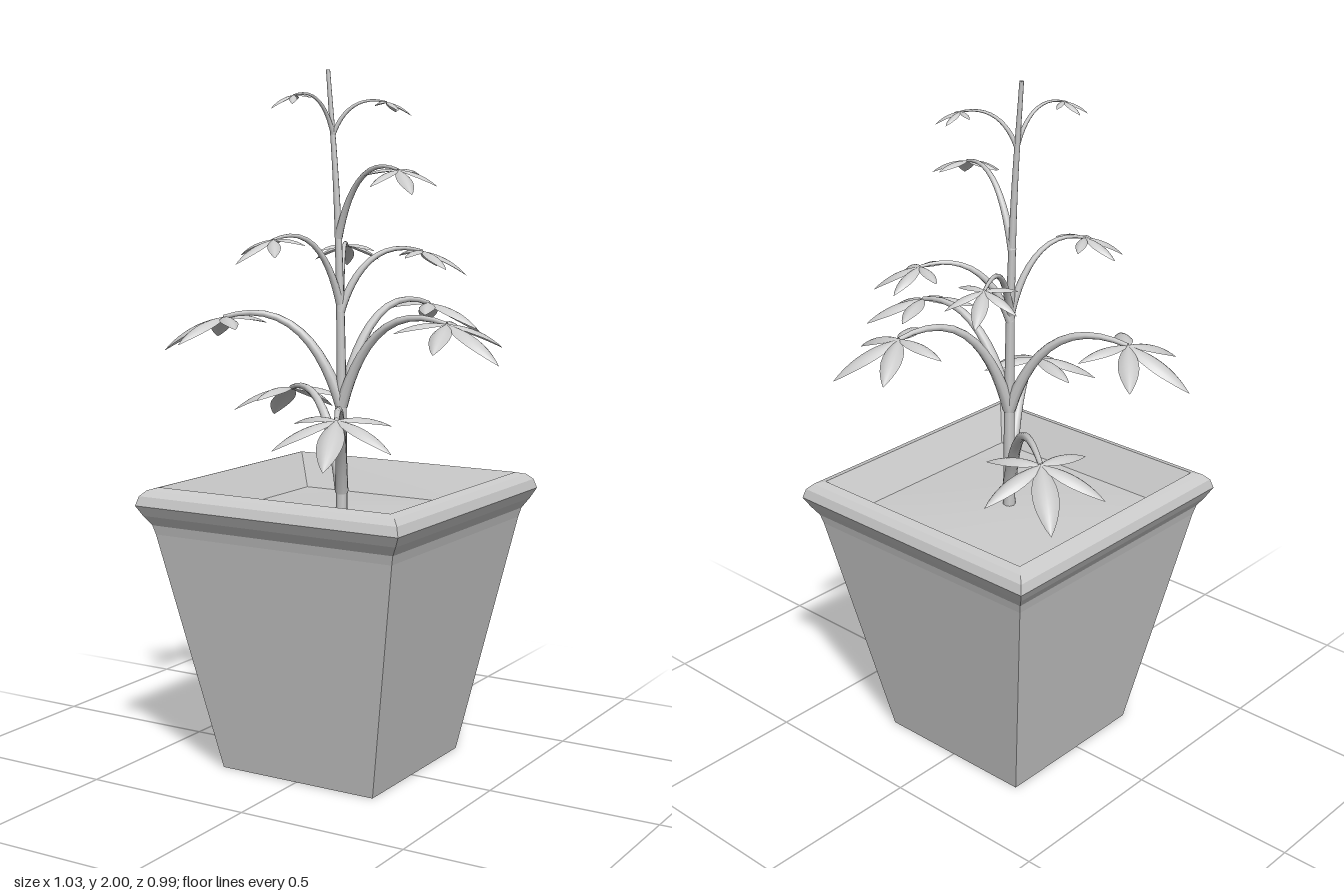
import * as THREE from 'three';

const CZ = -0.025; // the pot sits slightly behind the origin
const smooth = new THREE.MeshStandardMaterial({ color: 0xcccccc, side: THREE.DoubleSide });
const faceted = new THREE.MeshStandardMaterial({ color: 0xcccccc, flatShading: true });

function named(geometry, material, name) {
  const mesh = new THREE.Mesh(geometry, material);
  mesh.name = name;
  return mesh;
}

// Tube whose radius runs from r0 to r1 along the curve
function taperedTube(curve, r0, r1, rings, sides) {
  const geo = new THREE.TubeGeometry(curve, rings, 1, sides);
  const pos = geo.attributes.position, v = new THREE.Vector3();
  for (let i = 0; i <= rings; i++) {
    const c = curve.getPointAt(i / rings), r = r0 + (r1 - r0) * i / rings;
    for (let j = 0; j <= sides; j++) {
      const k = i * (sides + 1) + j;
      v.fromBufferAttribute(pos, k).sub(c).multiplyScalar(r).add(c);
      pos.setXYZ(k, v.x, v.y, v.z);
    }
  }
  return geo;
}

// Pointed oval blade from hub to tip, arched lengthwise and rounded across
function leaflet(hub, tip) {
  const geo = new THREE.PlaneGeometry(2, 1, 6, 10);
  const pos = geo.attributes.position;
  const along = tip.clone().sub(hub), len = along.length();
  const dir = along.clone().normalize();
  const side = dir.clone().cross(new THREE.Vector3(0, 1, 0)).normalize();
  const up = side.clone().cross(dir);
  for (let i = 0; i < pos.count; i++) {
    const s = pos.getX(i), t = pos.getY(i) + 0.5;
    const oval = Math.pow(Math.max(0, Math.sin(Math.PI * Math.pow(t, 0.9))), 0.85);
    const half = len * (0.15 * oval + 0.012 * (1 - t));
    const lift = 0.36 * len * t * (1 - t) - 0.5 * half * s * s;
    const p = hub.clone().addScaledVector(along, t).addScaledVector(side, half * s).addScaledVector(up, lift);
    pos.setXYZ(i, p.x, p.y, p.z);
  }
  geo.computeVertexNormals();
  return geo;
}

// Stem centre line, leaning a little to the right as it rises
const STEM_BASE = 0.73, STEM_HEIGHT = 1.27;
function stemAt(y) {
  const t = (y - STEM_BASE) / STEM_HEIGHT;
  return new THREE.Vector3(-0.045 * t ** 3, y, CZ);
}

// Each leaf: hub x, y, z, height where its stalk leaves the stem,
// length of its longest leaflet, heading of that leaflet in degrees
const leaves = [
  [-0.32, 1.06, -0.255, 0.8, 0.2, 221],
  [0.18, 1.06, 0.3, 0.8, 0.2, 69],
  [-0.33, 1.3, 0.09, 1.05, 0.188, 167],
  [0.34, 1.3, -0.02, 1.05, 0.186, 13],
  [0.11, 1.33, -0.345, 1.05, 0.186, 302],
  [-0.12, 1.5, -0.255, 1.34, 0.12, 239],
  [0.16, 1.49, -0.21, 1.32, 0.13, 325],
  [-0.09, 1.53, 0.19, 1.34, 0.12, 117],
  [0.225, 1.72, 0.05, 1.53, 0.12, 43],
  [0.1, 1.91, -0.105, 1.82, 0.07, 327],
  [-0.07, 1.925, 0.115, 1.82, 0.07, 123],
];

function buildLeaf([x, y, z, from, size, heading]) {
  const leaf = new THREE.Group();
  leaf.name = 'leaf';
  const hub = new THREE.Vector3(x, y, z), start = stemAt(from);
  const bend = start.clone().lerp(hub, 0.3).setY(y + 0.3 * (y - from));
  const stalk = new THREE.QuadraticBezierCurve3(start, bend, hub);
  leaf.add(named(taperedTube(stalk, 0.1 * size, 0.035 * size, 12, 8), smooth, 'leafStalk'));

  // Five blades fan out; those facing away from the stem droop most
  for (let k = -2; k <= 2; k++) {
    const turn = THREE.MathUtils.degToRad(62 * k);
    const angle = THREE.MathUtils.degToRad(heading) + turn;
    const len = size * (1 - 0.09 * Math.abs(k));
    const drop = 0.3 + 0.25 * Math.cos(turn);
    const reach = new THREE.Vector3(Math.cos(angle), -drop, Math.sin(angle)).multiplyScalar(len);
    leaf.add(named(leaflet(hub, hub.clone().add(reach)), smooth, 'leaflet'));
  }
  return leaf;
}

function buildPot() {
  const pot = new THREE.Group();
  pot.name = 'pot';
  pot.position.z = CZ;
  // Square pot: half width and height along the wall, rim and inner lip
  const profile = [
    [0, 0], [0.25, 0], [0.383, 0.7], [0.39, 0.727], [0.408, 0.755], [0.424, 0.785],
    [0.416, 0.812], [0.4, 0.828], [0.375, 0.835], [0.315, 0.73],
  ].map(([w, h]) => new THREE.Vector2(w * Math.SQRT2, h));
  pot.add(named(new THREE.LatheGeometry(profile, 4, Math.PI / 4), faceted, 'potBody'));

  // Gently mounded soil
  const soil = new THREE.PlaneGeometry(0.64, 0.64, 12, 12).rotateX(-Math.PI / 2);
  const pos = soil.attributes.position;
  for (let i = 0; i < pos.count; i++) {
    const mound = Math.cos(pos.getX(i) * 4.9) * Math.cos(pos.getZ(i) * 4.9);
    pos.setY(i, 0.735 + 0.014 * mound);
  }
  soil.computeVertexNormals();
  pot.add(named(soil, smooth, 'soil'));
  return pot;
}

export function createModel() {
  const model = new THREE.Group();
  model.name = 'pottedPlant';
  model.add(buildPot());

  const plant = new THREE.Group();
  plant.name = 'plant';
  const line = [0, 0.25, 0.5, 0.75, 1].map((t) => stemAt(STEM_BASE + t * STEM_HEIGHT));
  const stem = new THREE.CatmullRomCurve3(line);
  plant.add(named(taperedTube(stem, 0.018, 0.006, 24, 8), smooth, 'stem'));
  const cap = named(new THREE.CircleGeometry(0.006, 8).rotateX(-Math.PI / 2), smooth, 'stemTip');
  cap.position.copy(stemAt(STEM_BASE + STEM_HEIGHT));
  plant.add(cap);
  for (const spec of leaves) plant.add(buildLeaf(spec));
  model.add(plant);
  return model;
}
